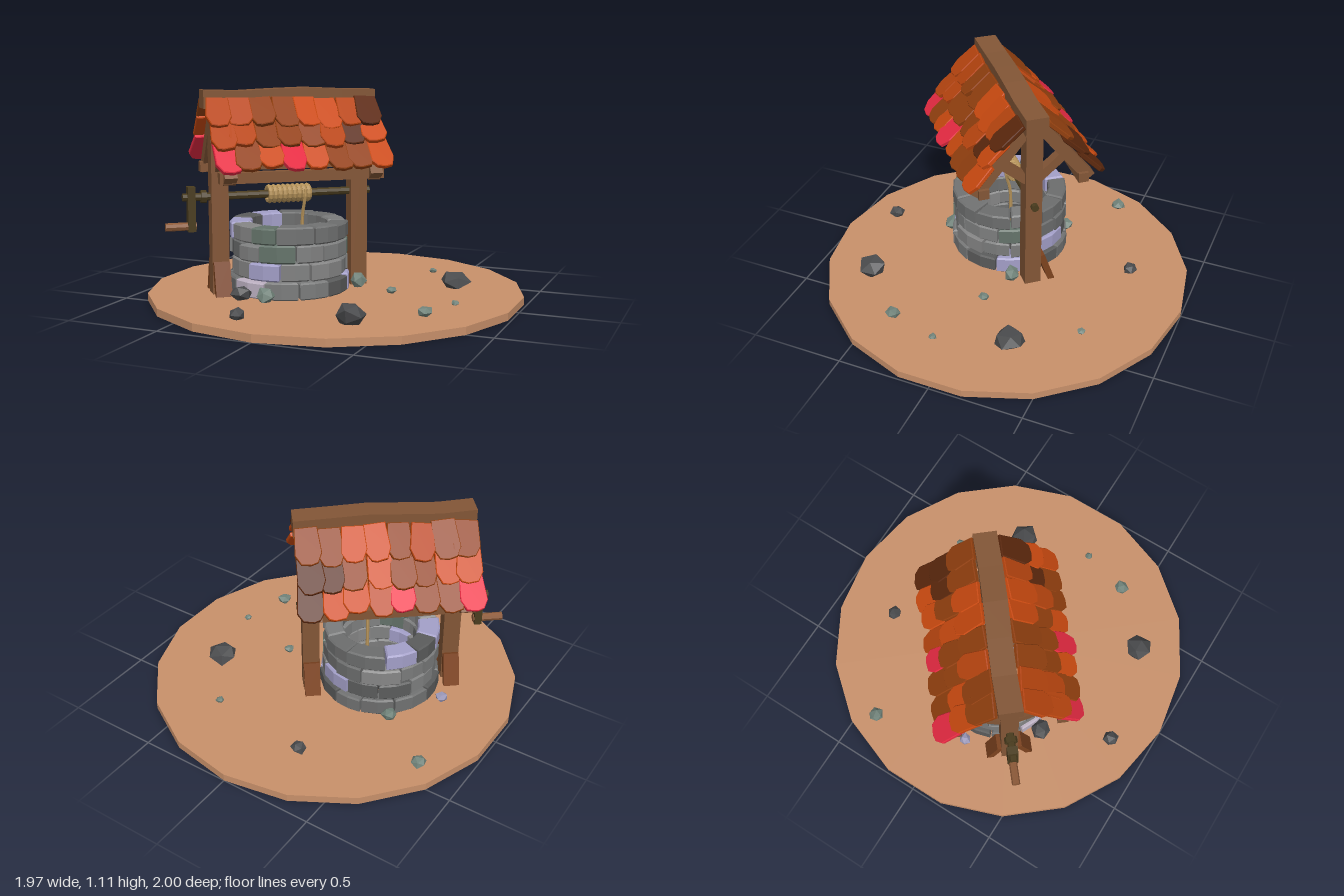
import * as THREE from 'three';

let seed = 7;
const rnd = () => ((seed = (seed * 16807) % 2147483647) / 2147483647);
const jit = (a) => (rnd() * 2 - 1) * a;

const cache = {};
const mat = (color) => (cache[color] ??= new THREE.MeshStandardMaterial({ color, flatShading: true }));
const WOOD = 0x835636, DARK = 0x4a3c1e, ROPE = 0xb6935a, FOOT = 0x7d431f;

function add(parent, name, geo, color, x = 0, y = 0, z = 0) {
  const m = new THREE.Mesh(geo, mat(color));
  m.name = name;
  m.position.set(x, y, z);
  parent.add(m);
  return m;
}

// Square timber from a to b: w across x, d across the other side
function timber(parent, name, a, b, w, d, color = WOOD) {
  const p = new THREE.Vector3(...a), q = new THREE.Vector3(...b);
  const m = add(parent, name, new THREE.BoxGeometry(w, p.distanceTo(q), d), color);
  m.position.copy(p).add(q).multiplyScalar(0.5);
  m.quaternion.setFromUnitVectors(new THREE.Vector3(0, 1, 0), q.sub(p).normalize());
  return m;
}

// One curved wall stone spanning the angles a0..a1
function stoneGeometry(rIn, rOut, a0, a1, h) {
  const bevel = 0.008, pts = [];
  const pa = bevel / rIn;
  for (let i = 0; i <= 2; i++) pts.push([rOut - bevel, a0 + pa + ((a1 - a0 - 2 * pa) * i) / 2]);
  for (let i = 2; i >= 0; i--) pts.push([rIn + bevel, a0 + pa + ((a1 - a0 - 2 * pa) * i) / 2]);
  const shape = new THREE.Shape(pts.map(([r, a]) => new THREE.Vector2(r * Math.cos(a), r * Math.sin(a))));
  const geo = new THREE.ExtrudeGeometry(shape, {
    depth: h - 2 * bevel, bevelThickness: bevel, bevelSize: bevel, bevelSegments: 1,
  });
  return geo.translate(0, 0, bevel).rotateX(-Math.PI / 2);
}

function buildWall(parent) {
  const wall = new THREE.Group();
  wall.name = 'stoneWall';
  const tones = [0x7b7c7c, 0x6c6d6d, 0x868686, 0x5b5c5c, 0x7b7c7c, 0xa39fc8, 0x717272, 0x64736a, 0x808181, 0xbdb1c2];
  const count = 11;
  for (let row = 0; row < 4; row++) {
    const cuts = [];
    for (let i = 0; i < count; i++) cuts.push(((i + row * 0.5 + jit(0.14)) / count) * Math.PI * 2);
    cuts.push(cuts[0] + Math.PI * 2);
    for (let i = 0; i < count; i++) {
      const rOut = (row === 0 ? 0.325 : 0.312) + jit(0.009);
      const geo = stoneGeometry(0.21 + jit(0.008), rOut, cuts[i], cuts[i + 1], 0.09 + jit(0.005));
      add(wall, 'wallStone', geo, tones[Math.floor(rnd() * tones.length)], 0, 0.064 + row * 0.095, 0);
    }
  }
  parent.add(wall);
}

function buildFrame(parent) {
  const frame = new THREE.Group();
  frame.name = 'timberFrame';
  for (const s of [-1, 1]) {
    const x = s * 0.38;
    timber(frame, 'post', [x, 0.06, 0], [x, 1.06, 0], 0.09, 0.09);
    for (const f of [-1, 1]) {
      timber(frame, 'rafter', [x, 1.05, f * 0.03], [x, 0.69, f * 0.31], 0.065, 0.065);
      timber(frame, 'brace', [x, 0.73, f * 0.03], [x, 0.86, f * 0.18], 0.05, 0.05);
      // Leaning boards at the post feet
      if (s < 0 || f < 0) timber(frame, 'footBoard', [x, 0.06, f * 0.11], [x, 0.235, f * 0.05], 0.085, 0.035, FOOT);
    }
  }
  for (const f of [-1, 1]) timber(frame, 'eaveBeam', [-0.43, 0.705, f * 0.27], [0.43, 0.705, f * 0.27], 0.055, 0.055);

  // Ridge beam with a slightly wavy outline
  const geo = new THREE.BoxGeometry(0.925, 0.095, 0.12, 5, 1, 1);
  const p = geo.attributes.position;
  for (let i = 0; i < p.count; i++) {
    const x = p.getX(i);
    p.setY(i, p.getY(i) + 0.007 * Math.sin(x * 9 + 1));
    p.setZ(i, p.getZ(i) + 0.005 * Math.sin(x * 7));
  }
  geo.computeVertexNormals();
  add(frame, 'ridgeBeam', geo, WOOD, 0, 1.085, 0);
  parent.add(frame);
}

// Roof tile hanging from its top edge, with a clipped lower end
function tileGeometry(w, len) {
  const h = w / 2, s = new THREE.Shape();
  s.moveTo(-h * 0.85, 0);
  s.lineTo(-h, -len * 0.72 + jit(0.012));
  s.lineTo(-h * 0.6, -len * 0.96);
  s.lineTo(jit(0.015), -len);
  s.lineTo(h * 0.65, -len * 0.95);
  s.lineTo(h, -len * 0.7 + jit(0.012));
  s.lineTo(h * 0.85, 0);
  return new THREE.ExtrudeGeometry(s, { depth: 0.018, bevelThickness: 0.004, bevelSize: 0.004, bevelSegments: 1 });
}

function buildRoof(parent) {
  const tones = [0xcb4a10, 0x93400f, 0xcb4a10, 0x93400f, 0xb8450f, 0x5c280d];
  const slope = 0.89, cols = 8;
  for (const f of [1, -1]) {
    const side = new THREE.Group();
    side.name = 'roofSide';
    side.rotation.y = f > 0 ? 0 : Math.PI;
    for (let row = 0; row < 3; row++) {
      for (let c = 0; c < cols; c++) {
        const s = row * 0.13 + jit(0.008);
        const red = row === 2 && (f > 0 ? c === 0 || c === 3 : c === 7 || c === 4);
        const color = red ? 0xe62a42 : tones[Math.floor(rnd() * tones.length)];
        const tile = add(side, 'roofTile', tileGeometry(0.128 + jit(0.008), 0.19 + jit(0.012)), color,
          (c - (cols - 1) / 2) * 0.114 + jit(0.008),
          1.075 - s * Math.sin(slope), 0.062 + s * Math.cos(slope));
        tile.rotation.set(slope - Math.PI / 2 - 0.13 + jit(0.05), jit(0.1), jit(0.09));
      }
    }
    parent.add(side);
  }
}

function buildWinch(parent) {
  const winch = new THREE.Group();
  winch.name = 'winch';
  const rod = (name, r, x0, x1, y, color) =>
    add(winch, name, new THREE.CylinderGeometry(r, r, x1 - x0, 8).rotateZ(Math.PI / 2), color, (x0 + x1) / 2, y, 0);
  rod('axle', 0.021, -0.57, 0.45, 0.578, DARK);
  rod('axleCollar', 0.034, -0.475, -0.445, 0.578, DARK);
  add(winch, 'crankArm', new THREE.BoxGeometry(0.04, 0.235, 0.055), DARK, -0.525, 0.515, 0);
  rod('crankHandle', 0.022, -0.66, -0.5, 0.425, 0x8d5a38);

  // Rope coils and the hanging end
  for (let i = 0; i < 9; i++) {
    const coil = add(winch, 'ropeCoil', new THREE.TorusGeometry(0.037, 0.0145, 6, 14), ROPE, -0.108 + i * 0.026, 0.578, 0);
    coil.rotation.set(0, Math.PI / 2 + 0.1, 0);
  }
  const path = new THREE.CatmullRomCurve3([
    [0.08, 0.6, 0.042], [0.078, 0.56, 0.045], [0.07, 0.46, 0.02], [0.07, 0.15, 0.015],
  ].map((v) => new THREE.Vector3(...v)));
  add(winch, 'hangingRope', new THREE.TubeGeometry(path, 12, 0.009, 6), ROPE);
  parent.add(winch);
}

// Irregular rock: x, z, radius, height above the ground, color
function rock(parent, x, z, r, h, color) {
  const geo = new THREE.IcosahedronGeometry(1, 0);
  const p = geo.attributes.position, k = rnd() * 6;
  for (let i = 0; i < p.count; i++) {
    const [a, b, c] = [p.getX(i), p.getY(i), p.getZ(i)];
    const f = 1 + 0.13 * Math.sin(a * 5 + b * 3 + c * 7 + k);
    p.setXYZ(i, a * f, b * f, c * f);
  }
  geo.computeVertexNormals();
  const m = add(parent, 'rock', geo, color, x, 0.065 + h * 0.4, z);
  m.scale.set(r, h * 0.6, r);
  m.rotation.y = k;
}

export function createModel() {
  const model = new THREE.Group();
  add(model, 'groundDisc', new THREE.CylinderGeometry(1, 1, 0.04, 18), 0xc8906a, 0, 0.045, 0);

  const well = new THREE.Group();
  well.name = 'well';
  well.position.set(-0.237, 0, 0.085);
  well.rotation.y = 0.7;
  buildWall(well);
  buildFrame(well);
  buildRoof(well);
  buildWinch(well);
  model.add(well);

  const D = 0x4a4b4d, G = 0x71837a;
  [
    [-0.21, -0.65, 0.042, 0.055, D], [0.585, -0.26, 0.085, 0.09, D], [0.345, 0.655, 0.075, 0.105, D],
    [-0.185, 0.785, 0.042, 0.055, D], [-0.35, 0.43, 0.06, 0.075, D],
    [-0.77, -0.4, 0.042, 0.05, G], [0.365, -0.57, 0.023, 0.025, G], [0.7, 0.12, 0.022, 0.025, G],
    [0.625, 0.385, 0.042, 0.05, G], [-0.46, -0.18, 0.042, 0.055, G], [0.315, 0, 0.03, 0.035, G],
    [0.1, -0.07, 0.045, 0.085, G], [-0.21, 0.43, 0.05, 0.075, G], [-0.62, 0.1, 0.035, 0.05, 0x9a97b8],
  ].forEach((r) => rock(model, ...r));
  return model;
}
